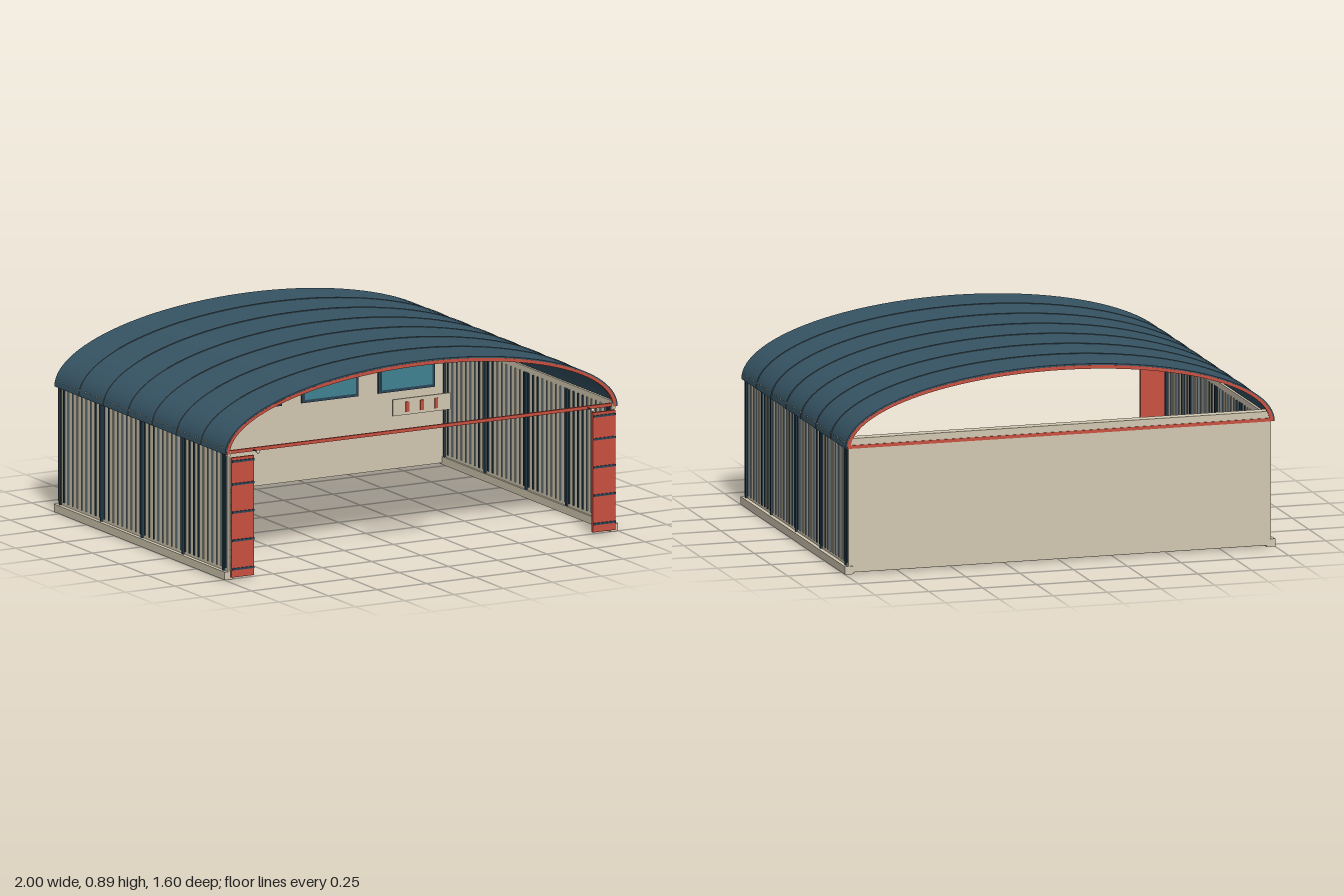
import * as THREE from 'three';
import { toCreasedNormals } from 'three/addons/utils/BufferGeometryUtils.js';

const EAVE = 0.57, BACK = -0.8, FRONT = 0.755;

export function createModel() {
  const model = new THREE.Group();
  model.name = 'hangar';
  const material = (name, color) => {
    const m = new THREE.MeshStandardMaterial({ color });
    m.name = name;
    return m;
  };
  const roofBlue = material('roof blue', 0x365464);
  const seamGrey = material('seam grey', 0x485a62);
  const cream = material('cream', 0xd2c9b2);
  const red = material('red', 0xc9503f);
  const navy = material('navy', 0x2a4558);
  const steel = material('steel blue', 0x8698a0);
  const glass = material('window glass', 0x3f8492);

  const add = (name, geometry, mat, x = 0, y = 0, z = 0, parent = model) => {
    const mesh = new THREE.Mesh(geometry, mat);
    mesh.name = name;
    mesh.position.set(x, y, z);
    parent.add(mesh);
    return mesh;
  };
  const box = (name, mat, w, h, d, x, y, z, parent) =>
    add(name, new THREE.BoxGeometry(w, h, d), mat, x, y, z, parent);

  // Half-elliptic shell standing on the eaves, running from z0 to z1
  const arch = (name, mat, a, b, t, z0, z1) => {
    const s = new THREE.Shape();
    s.moveTo(a, 0);
    s.absellipse(0, 0, a, b, 0, Math.PI, false);
    s.lineTo(-a + t, 0);
    s.absellipse(0, 0, a - t, b - t, Math.PI, 0, true);
    s.lineTo(a, 0);
    const g = new THREE.ExtrudeGeometry(s, { depth: z1 - z0, bevelEnabled: false, curveSegments: 28 });
    add(name, toCreasedNormals(g, 0.6), mat, 0, EAVE, z0);
  };

  // Roof, panel seams and red end arches
  arch('roof', roofBlue, 0.997, 0.318, 0.008, BACK, FRONT);
  for (let i = 1; i < 7; i++) {
    const z = BACK + i * 0.222;
    arch('roofSeam', seamGrey, 1, 0.321, 0.005, z - 0.003, z + 0.003);
  }
  arch('frontArch', red, 0.99, 0.311, 0.016, FRONT - 0.014, FRONT + 0.001);
  arch('backArch', red, 0.99, 0.311, 0.016, BACK - 0.001, BACK + 0.014);

  // Side walls, mirrored
  for (const side of [-1, 1]) {
    const wall = new THREE.Group();
    wall.name = side > 0 ? 'leftWall' : 'rightWall';
    model.add(wall);
    const mid = (BACK + FRONT) / 2, length = FRONT - BACK;
    box('wallPanel', cream, 0.012, 0.56, length - 0.01, side * 0.975, 0.315, mid, wall);
    box('sill', cream, 0.04, 0.036, length, side * 0.98, 0.018, mid, wall);

    // Cladding ribs: four dark ones in every ten
    for (let i = 0; i < 38; i++) {
      const z = 0.735 - i * 0.0409;
      const dark = (i + 4) % 10 < 4 || i === 0;
      box(dark ? 'darkRib' : 'rib', dark ? navy : steel,
        0.022, 0.52, dark ? 0.008 : 0.005, side * 0.975, 0.31, z, wall);
    }
    // Structural posts
    for (let i = 0; i < 5; i++)
      box('post', navy, 0.028, 0.535, 0.013, side * 0.975, 0.303, 0.72 - i * 0.3715, wall);

    // Rivets above the eaves
    for (let i = 0; i < 31; i++)
      box('rivet', cream, 0.006, 0.005, 0.005, side * 0.995, 0.597, 0.73 - i * 0.05, wall);

    // Folded door leaf with dark bands
    const door = new THREE.Group();
    door.name = side > 0 ? 'leftDoor' : 'rightDoor';
    model.add(door);
    box('doorLeaf', red, 0.115, 0.545, 0.012, side * 0.918, 0.285, 0.769, door);
    for (const y of [0.05, 0.18, 0.308, 0.436, 0.54])
      box('doorBand', navy, 0.113, 0.009, 0.006, side * 0.918, y, 0.777, door);

    // Lamp arm and rail bracket
    const arm = add('lampArm', new THREE.CylinderGeometry(0.003, 0.003, 0.045, 8), navy, side * 0.85, 0.575, 0.77);
    arm.rotation.x = Math.PI / 2;
    add('lamp', new THREE.SphereGeometry(0.008, 12, 8), cream, side * 0.85, 0.575, 0.792);
    box('railBracket', cream, 0.016, 0.024, 0.02, side * 0.977, 0.572, 0.745);
  }

  // Door rail across the front
  box('doorRail', red, 1.94, 0.015, 0.012, 0, 0.577, 0.744);

  // Back wall with cap beam and red strip
  box('backWall', cream, 1.96, 0.565, 0.018, 0, 0.29, -0.787);
  box('backBeam', cream, 1.94, 0.04, 0.05, 0, 0.595, -0.772);
  box('backStrip', red, 1.95, 0.015, 0.008, 0, 0.577, -0.797);

  // Windows on the inside face of the back wall
  for (let i = -2; i <= 2; i++) {
    const x = i * 0.388;
    box('windowFrame', navy, 0.288, 0.13, 0.008, x, 0.425, -0.774);
    box('windowPane', glass, 0.258, 0.102, 0.004, x, 0.425, -0.769);
  }

  // Hanging sign with three red bars
  box('sign', cream, 0.292, 0.075, 0.01, 0, 0.688, 0.752);
  for (const x of [-0.073, 0, 0.073])
    box('signBar', red, 0.017, 0.046, 0.006, x, 0.687, 0.759);

  return model;
}
